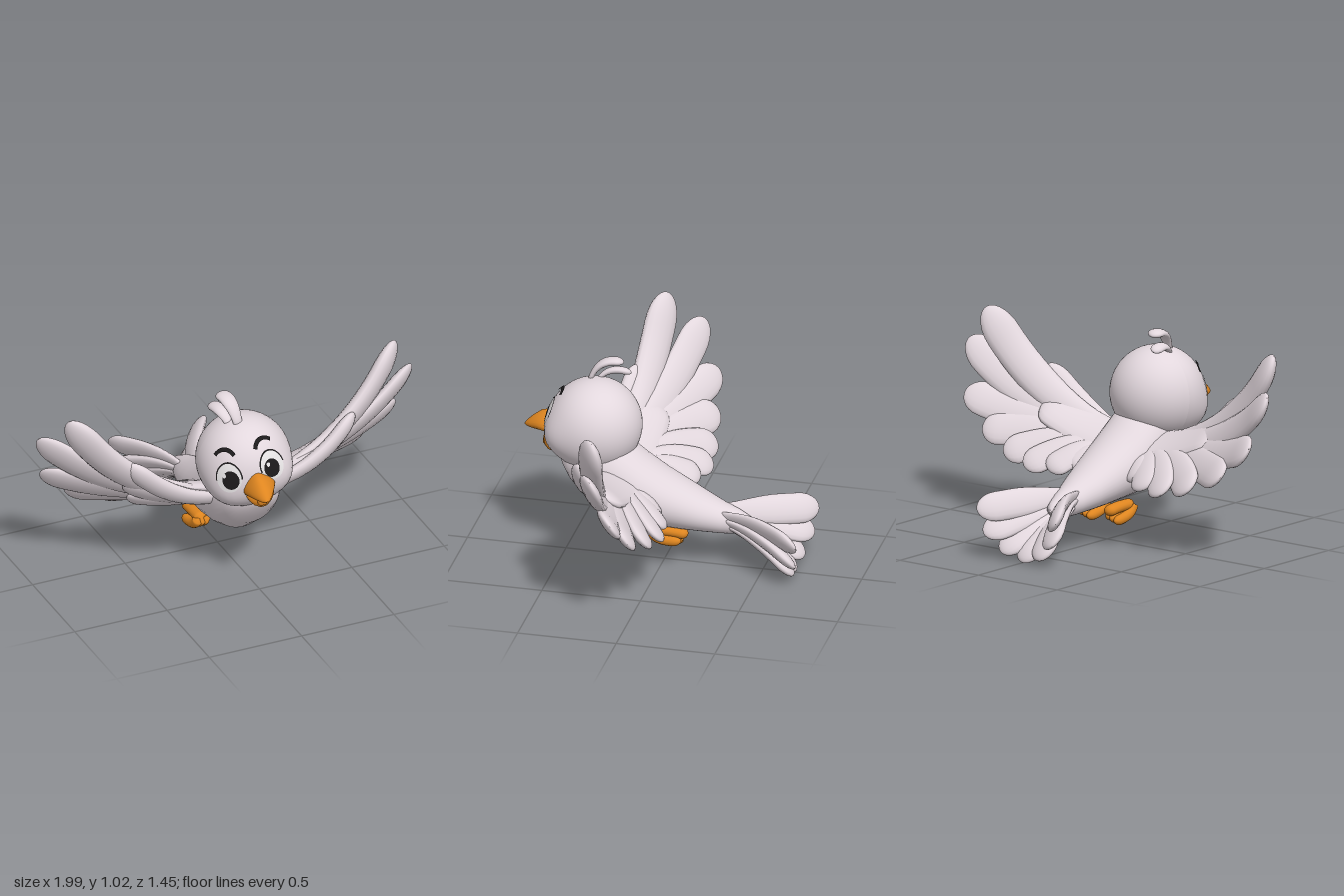
import * as THREE from 'three';

const V = (x, y, z) => new THREE.Vector3(x, y, z);
const flat = (color) => new THREE.MeshStandardMaterial({ color });

// Smooth skin over elliptical rings given as [centre, axisU, axisV]
function loft(rings, sides = 16) {
  const pos = [], index = [];
  rings.forEach(([c, u, v], i) => {
    for (let j = 0; j < sides; j++) {
      const a = (j / sides) * Math.PI * 2;
      const p = c.clone().addScaledVector(u, Math.cos(a)).addScaledVector(v, Math.sin(a));
      pos.push(p.x, p.y, p.z);
      if (i === rings.length - 1) continue;
      const k = (j + 1) % sides, n = i * sides;
      index.push(n + j, n + k, n + sides + j, n + k, n + sides + k, n + sides + j);
    }
  });
  const g = new THREE.BufferGeometry();
  g.setAttribute('position', new THREE.Float32BufferAttribute(pos, 3));
  g.setIndex(index);
  g.computeVertexNormals();
  return g;
}

// Curved, flattened, round-tipped blade: feathers, tufts, toes
function blade(root, ctrl, tip, half, thick, normal, rootWidth = 0.45) {
  const curve = new THREE.QuadraticBezierCurve3(root, ctrl, tip);
  const rings = [];
  for (let i = 0; i <= 18; i++) {
    const t = Math.sin((i / 18) * Math.PI / 2);
    const T = curve.getTangent(t);
    const W = normal.clone().cross(T).normalize();
    const N = T.clone().cross(W);
    let w = rootWidth + (1 - rootWidth) * THREE.MathUtils.smoothstep(t, 0, 0.65);
    if (t > 0.83) w *= Math.sqrt(Math.max(0, 1 - ((t - 0.83) / 0.17) ** 2));
    w *= Math.sqrt(Math.min(1, t / 0.08));
    w = Math.max(w, 0.01);
    rings.push([curve.getPoint(t), W.multiplyScalar(half * w), N.multiplyScalar(thick * w)]);
  }
  return loft(rings);
}

// Head radius in a direction: a ball with two full cheeks
function headRadius(d) {
  const cheek = (s) => Math.exp(-d.distanceToSquared(V(s * 0.65, -0.32, 0.69)) / 0.18);
  return 0.236 + 0.027 * (cheek(1) + cheek(-1));
}

// Lays a flat geometry onto the curved face
function onFace(g, x, y, lift) {
  g.translate(x, y, 0);
  const p = g.attributes.position;
  for (let i = 0; i < p.count; i++) {
    const a = p.getX(i) / 0.22, b = p.getY(i) / 0.235;
    const d = V(Math.sin(a) * Math.cos(b), Math.sin(b), Math.cos(a) * Math.cos(b));
    d.multiplyScalar(headRadius(d) + lift);
    p.setXYZ(i, d.x, d.y, d.z);
  }
  g.computeVertexNormals();
  return g;
}

export function createModel() {
  const plumage = flat(0xe2d7dd), orange = flat(0xdf8620);
  const black = flat(0x1c1a1b), white = flat(0xf1eeef);
  plumage.name = 'plumage'; orange.name = 'orange'; black.name = 'black'; white.name = 'eyeWhite';

  const model = new THREE.Group();
  model.name = 'bird';
  const add = (parent, name, geometry, material) => {
    const m = new THREE.Mesh(geometry, material);
    m.name = name;
    parent.add(m);
  };
  const group = (name) => {
    const g = new THREE.Group();
    g.name = name;
    model.add(g);
    return g;
  };

  // Body: [z, bottom, top, half width] from breast to rump
  const body = [
    [0.52, 0.515, 0.535, 0.01], [0.505, 0.475, 0.57, 0.07], [0.46, 0.405, 0.62, 0.125],
    [0.40, 0.335, 0.66, 0.158], [0.30, 0.255, 0.68, 0.178], [0.20, 0.222, 0.635, 0.186],
    [0.10, 0.21, 0.56, 0.18], [0, 0.203, 0.495, 0.165], [-0.10, 0.195, 0.44, 0.145],
    [-0.20, 0.19, 0.385, 0.122], [-0.30, 0.185, 0.335, 0.09], [-0.37, 0.185, 0.31, 0.062],
    [-0.44, 0.20, 0.27, 0.035], [-0.46, 0.225, 0.24, 0.005],
  ];
  add(model, 'body', loft(body.map(([z, lo, hi, rx]) =>
    [V(z < 0 ? 0.03 * z : 0, (lo + hi) / 2, z), V(rx, 0, 0), V(0, -(hi - lo) / 2, 0)]), 36), plumage);

  // Tail: a cupped fan
  const tail = group('tail');
  for (let k = -3; k <= 3; k++) {
    const a = (k / 3) * Math.PI / 2, s = Math.sin(a), c = Math.cos(a);
    add(tail, 'tailFeather', blade(
      V(0.03 * s - 0.008, 0.275 - 0.04 * c, -0.27), V(0.06 * s - 0.01, 0.29 - 0.085 * c, -0.47),
      V(0.25 * s - 0.01, 0.25 - 0.24 * c, -0.665 - 0.055 * s * s),
      0.076, 0.03, V(-0.6 * s, 0.4 + 0.6 * c, -0.4), 0.55), plumage);
  }

  // Wings: [root, bend, tip, half width, thickness] for the left side, mirrored for the right
  const flight = [
    [[0.20, 0.47, 0.25], [0.66, 0.60, 0.24], [0.89, 1.025, 0.18], 0.09, 0.045],
    [[0.18, 0.46, 0.23], [0.70, 0.55, 0.17], [0.985, 0.86, 0.09], 0.09, 0.035],
    [[0.16, 0.455, 0.21], [0.66, 0.50, 0.12], [0.94, 0.61, 0], 0.09, 0.03],
    [[0.14, 0.45, 0.20], [0.55, 0.47, 0.10], [0.79, 0.45, -0.045], 0.09, 0.03],
    [[0.12, 0.45, 0.19], [0.42, 0.45, 0.08], [0.61, 0.36, -0.09], 0.085, 0.03],
    [[0.11, 0.44, 0.17], [0.32, 0.44, 0.06], [0.45, 0.32, -0.115], 0.08, 0.028],
    [[0.10, 0.43, 0.15], [0.23, 0.43, 0.05], [0.31, 0.32, -0.09], 0.075, 0.027],
    [[0.08, 0.42, 0.12], [0.17, 0.42, 0.05], [0.22, 0.34, -0.03], 0.065, 0.026],
  ];
  const coverts = [
    [[0.08, 0.44, 0.27], [0.40, 0.49, 0.34], [0.61, 0.75, 0.28], 0.062, 0.036],
    [[0.10, 0.43, 0.25], [0.40, 0.47, 0.25], [0.60, 0.60, 0.21], 0.07, 0.027],
    [[0.10, 0.42, 0.23], [0.38, 0.43, 0.20], [0.55, 0.47, 0.13], 0.07, 0.026],
    [[0.10, 0.41, 0.21], [0.30, 0.40, 0.15], [0.44, 0.39, 0.06], 0.065, 0.026],
    [[0.10, 0.41, 0.19], [0.22, 0.38, 0.12], [0.32, 0.35, 0.04], 0.06, 0.026],
  ];
  for (const side of [1, -1]) {
    const wing = group(side > 0 ? 'leftWing' : 'rightWing');
    // The right wing is fanned a little wider than the left
    const P = ([x, y, z], fan = 0) => V(side * x, y, z + side * fan * x);
    const layer = (name, list, fan) => list.forEach(([r, c, t, w, thick], i) => {
      const n = V(-0.6, 0.32, -0.75).lerp(V(-0.28, 0.8, -0.48), Math.min(1, i / (list.length - 2)));
      n.x *= side;
      const f = i === 0 ? -0.6 * fan : fan;
      add(wing, name, blade(P(r), P(c, f / 2), P(t, f), w, thick, n, 0.75), plumage);
    });
    layer('flightFeather', flight, 0.05);
    layer('covertFeather', coverts, 0);
    // Fleshy arm joining the feathers to the shoulder
    add(wing, 'wingArm', blade(P([0.05, 0.44, 0.17]), P([0.28, 0.47, 0.20]), P([0.55, 0.59, 0.20]),
      0.12, 0.035, V(-0.4 * side, 0.75, -0.45), 1.1), plumage);
  }

  // Feet: plump curled toes tucked under the belly
  for (const x of [-0.108, 0.064]) {
    const foot = group(x > 0 ? 'leftFoot' : 'rightFoot');
    for (const k of [-1, 0, 1]) {
      add(foot, 'toe', blade(V(x + k * 0.018, 0.2, 0.05), V(x + k * 0.026, 0.135, 0.035),
        V(x + k * 0.026, 0.145 + 0.01 * k, -0.105), 0.025, 0.026, V(0, 1, 0), 1), orange);
    }
    add(foot, 'backToe', blade(V(x, 0.192, 0.055), V(x, 0.2, -0.04), V(x, 0.182, -0.135),
      0.034, 0.028, V(0, 1, 0), 1), orange);
  }

  // Head, slightly turned and tilted
  const head = group('head');
  head.position.set(-0.025, 0.692, 0.36);
  head.rotation.set(0, -0.15, 0.22);
  const skull = new THREE.SphereGeometry(1, 48, 32);
  const sp = skull.attributes.position;
  for (let i = 0; i < sp.count; i++) {
    const d = V(0, 0, 0).fromBufferAttribute(sp, i).normalize();
    d.multiplyScalar(headRadius(d));
    sp.setXYZ(i, d.x, d.y, d.z);
  }
  skull.computeVertexNormals();
  add(head, 'skull', skull, plumage);

  // Eyes and brows
  const disc = (rx, ry) => new THREE.RingGeometry(0.001, 1, 28, 5).scale(rx, ry, 1);
  for (const s of [1, -1]) {
    const x = s * 0.108 - 0.012, y = 0.044;
    add(head, 'eyeWhite', onFace(disc(0.06, 0.073), x, y, 0.003), white);
    add(head, 'eyeRim', onFace(new THREE.RingGeometry(0.97, 1.08, 28, 2, -0.2, Math.PI + 0.4)
      .scale(0.06, 0.073, 1), x, y, 0.004), black);
    add(head, 'pupil', onFace(disc(0.039, 0.046), x - s * 0.008, y - 0.012, 0.005), black);
    add(head, 'eyeGlint', onFace(disc(0.009, 0.011), x - 0.02, y + 0.012, 0.007), white);
    add(head, 'brow', onFace(new THREE.RingGeometry(0.7, 1, 24, 3, 0.5, Math.PI - 1)
      .scale(0.078, 0.072, 1), x + s * 0.013 - 0.004, y + 0.078, 0.008), black);
  }

  // Open beak: [z, centre y, half width, half height], ridged on top
  const upper = [
    [0.18, -0.02, 0.088, 0.05], [0.235, -0.02, 0.09, 0.058], [0.28, -0.025, 0.07, 0.05],
    [0.32, -0.04, 0.045, 0.034], [0.35, -0.052, 0.023, 0.017], [0.364, -0.058, 0.003, 0.003],
  ];
  const bx = 0.008;
  const beak = loft(upper.map(([z, y, rx, ry]) => [V(0, y, z), V(rx, 0, 0), V(0, ry, 0)]), 24);
  const bp = beak.attributes.position;
  for (let i = 0; i < bp.count; i++) {
    const up = THREE.MathUtils.clamp((bp.getY(i) + 0.045) / 0.08, 0, 1);
    const x = bp.getX(i) * (1 - 0.5 * up);
    bp.setXYZ(i, x + bx, bp.getY(i) - 1.5 * x * x, bp.getZ(i));
  }
  beak.computeVertexNormals();
  add(head, 'upperBeak', beak, orange);
  const lower = [
    [-0.04, 0.19, 0.078, 0.02], [-0.075, 0.215, 0.076, 0.024], [-0.11, 0.225, 0.064, 0.024],
    [-0.14, 0.222, 0.047, 0.022], [-0.162, 0.215, 0.026, 0.016], [-0.172, 0.21, 0.003, 0.003],
  ];
  add(head, 'lowerBeak', loft(lower.map(([y, z, rx, rz]) =>
    [V(bx, y, z), V(rx, 0, 0), V(0, 0, rz)]), 24), orange);
  add(head, 'tongue', blade(V(bx, -0.06, 0.225), V(bx, -0.10, 0.255), V(bx, -0.145, 0.24),
    0.03, 0.012, V(0, 0.3, 1), 0.9), orange);

  // Crest tufts on the crown
  const crest = group('crest');
  add(crest, 'frontTuft', blade(V(-0.065, 0.89, 0.40), V(-0.08, 1.04, 0.36), V(-0.095, 1.005, 0.23),
    0.04, 0.02, V(0, 0.8, 0.6), 0.6), plumage);
  add(crest, 'backTuft', blade(V(-0.095, 0.88, 0.37), V(-0.12, 0.98, 0.32), V(-0.13, 0.935, 0.20),
    0.032, 0.018, V(-0.2, 0.9, 0.4), 0.6), plumage);

  return model;
}
